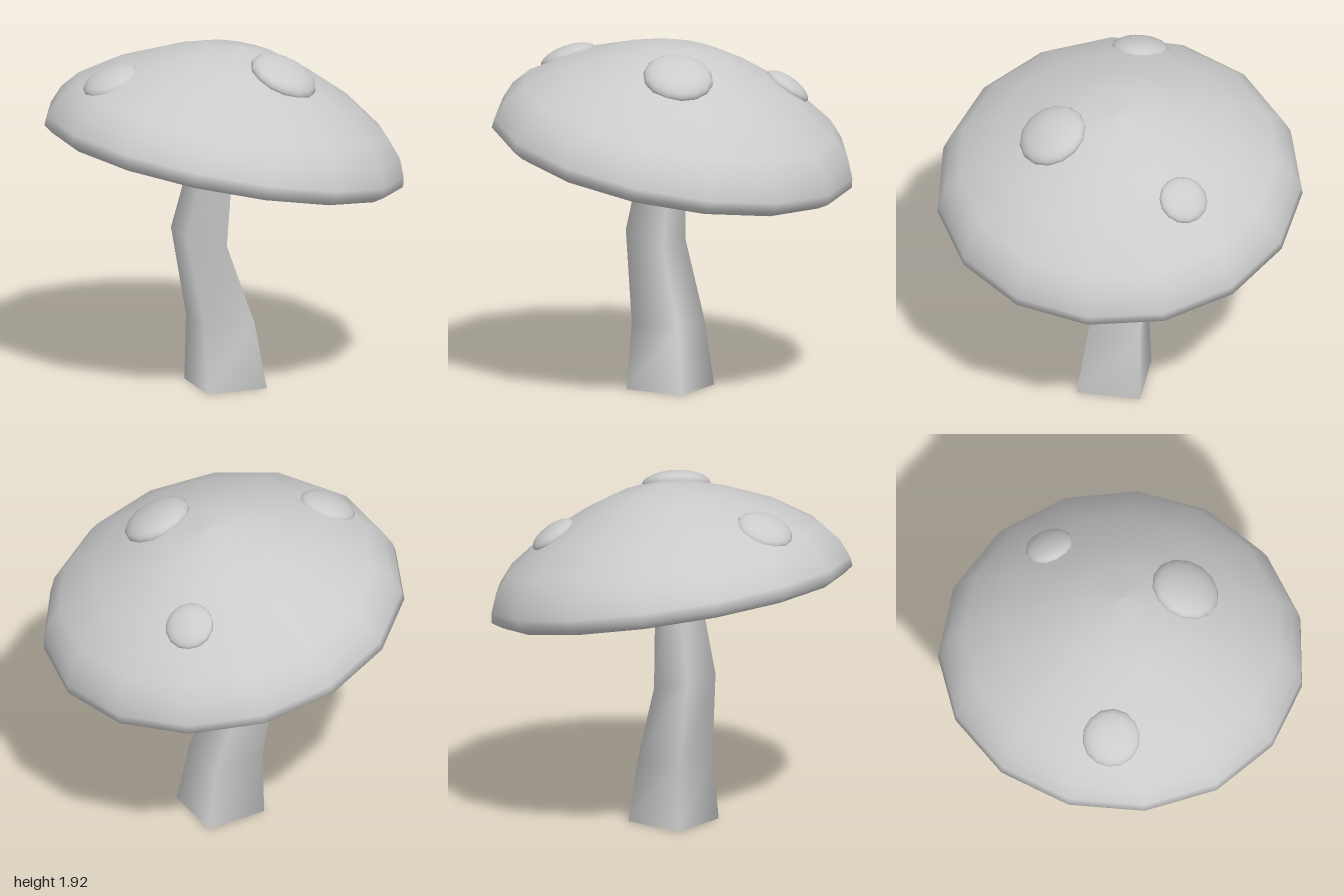
import * as THREE from 'three';

const material = new THREE.MeshStandardMaterial({ color: 0xcccccc, side: THREE.DoubleSide });

function addMesh(parent, name, geometry) {
  const mesh = new THREE.Mesh(geometry, material);
  mesh.name = name;
  parent.add(mesh);
  return mesh;
}

// Four-sided crooked stalk, open at both ends.
// Each section: [y at -x side, y at +x side, xMin, xMax, zMin, zMax]
function stalkGeometry() {
  const sections = [
    [0, 0, -0.19, 0.16, -0.148, 0.205],
    [0.37, 0.36, -0.186, 0.107, -0.134, 0.155],
    [0.863, 0.795, -0.264, -0.029, -0.16, 0.085],
    [1.52, 1.47, -0.11, 0.024, -0.08, 0.08],
  ];
  const positions = [];
  const index = [];
  sections.forEach(([yl, yr, x0, x1, z0, z1], s) => {
    positions.push(x0, yl, z1, x1, yr, z1, x1, yr, z0, x0, yl, z0);
    if (s === 0) return;
    for (let i = 0; i < 4; i++) {
      const j = (i + 1) % 4;
      const a = (s - 1) * 4 + i, b = (s - 1) * 4 + j;
      index.push(a, b, b + 4, a, b + 4, a + 4);
    }
  });
  const geometry = new THREE.BufferGeometry();
  geometry.setAttribute('position', new THREE.Float32BufferAttribute(positions, 3));
  geometry.setIndex(index);
  geometry.computeVertexNormals();
  return geometry;
}

// Thin hollow dome with a rim that turns inward.
function capGeometry() {
  const profile = [
    [0.86, 0.005], [0.95, 0], [1.006, 0.038], [1.0, 0.09], [0.96, 0.19], [0.877, 0.288],
    [0.66, 0.437], [0.4, 0.555], [0.208, 0.62], [0, 0.645],
  ].map(([r, y]) => new THREE.Vector2(r, y));
  return new THREE.LatheGeometry(profile, 15, Math.PI / 2);
}

export function createModel() {
  const model = new THREE.Group();
  model.name = 'mushroom';

  addMesh(model, 'stalk', stalkGeometry());

  // Cap and its spots lean together toward +x
  const capGroup = new THREE.Group();
  capGroup.name = 'capGroup';
  capGroup.position.set(-0.029, 1.27, 0);
  capGroup.rotation.z = -0.197;
  model.add(capGroup);
  addMesh(capGroup, 'cap', capGeometry());

  // Flattened, open-bottomed spots: [x, y, z, radius, tilt from the cap axis]
  const spots = [
    [0.13, 0.565, 0.33, 0.193, 0.36],
    [-0.733, 0.365, 0, 0.16, 0.59],
    [0.4, 0.46, -0.44, 0.135, 0.47],
  ];
  const up = new THREE.Vector3(0, 1, 0);
  for (const [x, y, z, radius, tilt] of spots) {
    const spot = addMesh(capGroup, 'spot',
      new THREE.SphereGeometry(radius, 14, 8, 0, Math.PI * 2, 0, Math.PI * 0.62));
    const r = Math.hypot(x, z);
    const normal = new THREE.Vector3(x / r * Math.sin(tilt), Math.cos(tilt), z / r * Math.sin(tilt));
    spot.position.set(x, y, z);
    spot.quaternion.setFromUnitVectors(up, normal);
    spot.scale.y = 0.4;
  }
  return model;
}
